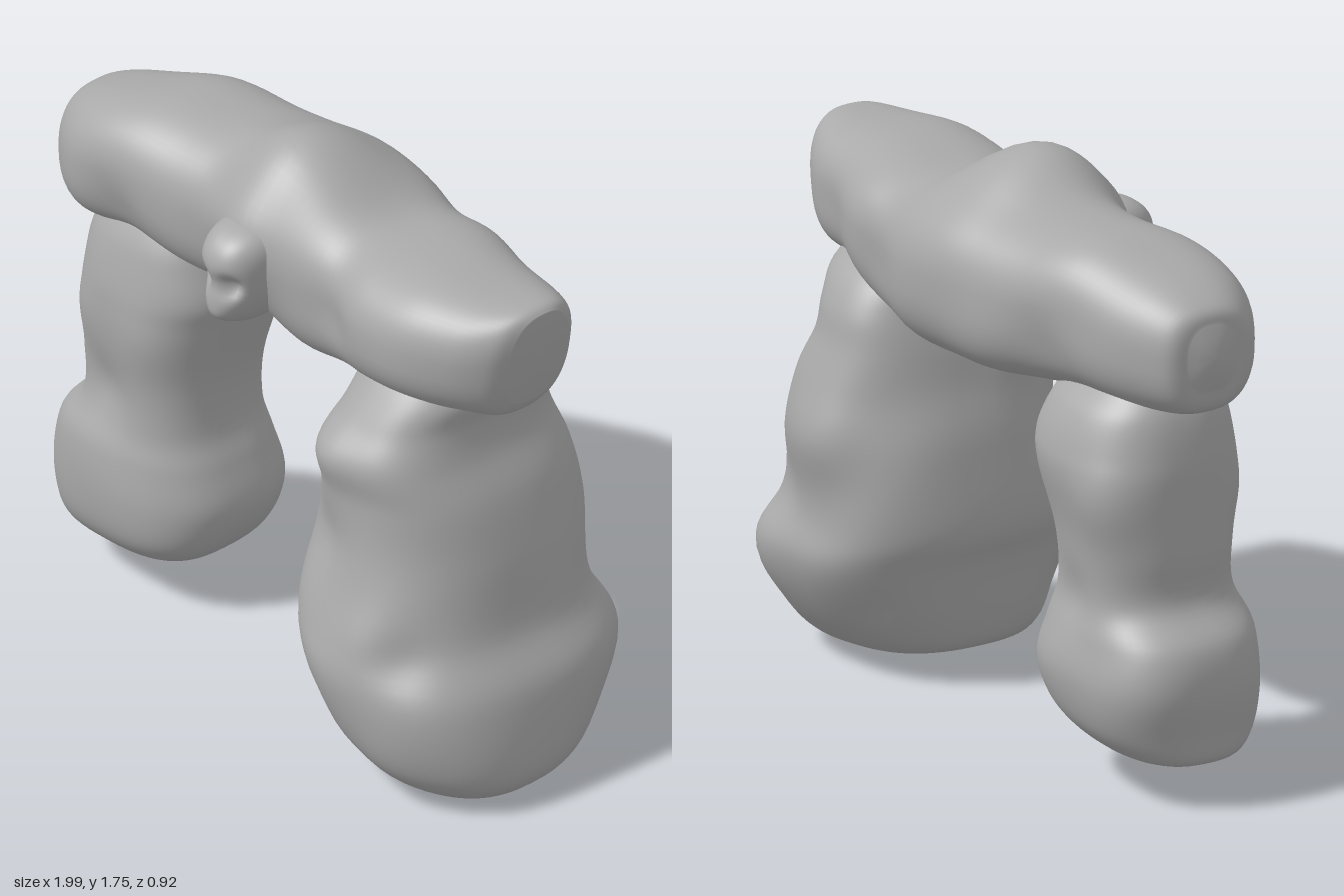
import * as THREE from 'three';

const stone = new THREE.MeshStandardMaterial({ color: 0xa9a9a9 });
stone.name = 'grey stone';

// Smooth blend through four neighbouring values
function spline(p0, p1, p2, p3, t) {
  const m1 = (p2 - p0) / 2, m2 = (p3 - p1) / 2, t2 = t * t, t3 = t2 * t;
  return (2 * t3 - 3 * t2 + 1) * p1 + (t3 - 2 * t2 + t) * m1 + (3 * t2 - 2 * t3) * p2 + (t3 - t2) * m2;
}

// Gentle weathering, as a fraction of the radius
function weathering(p) {
  return 0.012 * Math.sin(7 * p.x + 5 * p.y + 3 * p.z) + 0.012 * Math.sin(9 * p.y - 6 * p.z + 2)
    + 0.01 * Math.sin(13 * p.x - 8 * p.z + 11 * p.y + 1);
}

// Moves a point outwards (or inwards) near each lump: [x, y, z, radius, height]
function applyLumps(p, outward, lumps) {
  const start = p.clone();
  for (const [x, y, z, r, h] of lumps) {
    const d2 = (start.x - x) ** 2 + (start.y - y) ** 2 + (start.z - z) ** 2;
    p.addScaledVector(outward, h * Math.exp(-d2 / (r * r)));
  }
}

// Boulder lofted through sections [t, aMin, aMax, bMin, bMax].
// place(t, a, b) turns a section point into a position; bend(p) slants the result.
function boulder(name, sections, place, power, lumps, bend) {
  const sides = 64, steps = 6, rings = [];
  const at = (i) => sections[Math.min(Math.max(i, 0), sections.length - 1)];
  for (let i = 0; i < sections.length - 1; i++) {
    for (let s = 0; s < steps; s++) {
      rings.push(at(i).map((_, k) => spline(at(i - 1)[k], at(i)[k], at(i + 1)[k], at(i + 2)[k], s / steps)));
    }
  }
  rings.push(at(sections.length - 1));
  const scaled = ([t, a0, a1, b0, b1], f, rise) => {
    const a = (a0 + a1) / 2, b = (b0 + b1) / 2;
    return [t + rise, a + (a0 - a) * f, a + (a1 - a) * f, b + (b0 - b) * f, b + (b1 - b) * f];
  };
  // Slightly domed, closed ends
  const first = rings[0], last = rings[rings.length - 1];
  rings.unshift(scaled(first, 0.001, -0.02), scaled(first, 0.35, -0.017), scaled(first, 0.7, -0.01));
  rings.push(scaled(last, 0.7, 0.004), scaled(last, 0.35, 0.007), scaled(last, 0.001, 0.008));

  const positions = [], index = [];
  rings.forEach(([t, a0, a1, b0, b1], i) => {
    const centre = place(t, (a0 + a1) / 2, (b0 + b1) / 2);
    for (let j = 0; j < sides; j++) {
      const angle = (j / sides) * Math.PI * 2, c = Math.cos(angle), s = Math.sin(angle);
      const ca = Math.sign(c) * Math.abs(c) ** (2 / power), sb = Math.sign(s) * Math.abs(s) ** (2 / power);
      const p = place(t, (a0 + a1) / 2 + ca * (a1 - a0) / 2, (b0 + b1) / 2 + sb * (b1 - b0) / 2);
      const out = p.clone().sub(centre);
      p.addScaledVector(out, weathering(p));
      applyLumps(p, out.normalize(), lumps);
      bend(p);
      positions.push(p.x, p.y, p.z);
      if (i < rings.length - 1) {
        const k = (j + 1) % sides, A = i * sides + j, B = i * sides + k;
        index.push(A, B, B + sides, A, B + sides, A + sides);
      }
    }
  });
  const geometry = new THREE.BufferGeometry();
  geometry.setAttribute('position', new THREE.Float32BufferAttribute(positions, 3));
  geometry.setIndex(index);
  geometry.computeVertexNormals();
  const mesh = new THREE.Mesh(geometry, stone);
  mesh.name = name;
  return mesh;
}

const upright = (t, a, b) => new THREE.Vector3(b, t, a); // a is z, b is x
const lying = (t, a, b) => new THREE.Vector3(t, a, b);   // a is y, b is z

// Carved knob: broad brow, two sockets and a narrow muzzle
function carvedKnob() {
  const geometry = new THREE.SphereGeometry(1, 64, 48);
  const position = geometry.attributes.position, p = new THREE.Vector3(), front = new THREE.Vector3(0, 0, 1);
  const dents = [[-0.115, 1.425, 0.35, 0.035, -0.05], [-0.02, 1.425, 0.35, 0.035, -0.05],
    [-0.065, 1.31, 0.33, 0.06, 0.03]];
  const boxy = (v) => Math.sign(v) * Math.abs(v) ** 0.8;
  for (let i = 0; i < position.count; i++) {
    p.fromBufferAttribute(position, i);
    p.set(-0.065 + boxy(p.x) * (0.105 + 0.035 * p.y), 1.425 + boxy(p.y) * 0.165, 0.19 + boxy(p.z) * (0.18 + 0.02 * p.y));
    if (p.z > 0.2) applyLumps(p, front, dents);
    position.setXYZ(i, p.x, p.y, p.z);
  }
  geometry.computeVertexNormals();
  const mesh = new THREE.Mesh(geometry, stone);
  mesh.name = 'carvedKnob';
  return mesh;
}

export function createModel() {
  const group = new THREE.Group();
  group.name = 'stoneArch';

  // Broad pillar with a sloping foot
  group.add(boulder('leftPillar', [
    [0.07, -0.13, 0.24, 0.38, 0.82],
    [0.1, -0.23, 0.32, 0.3, 0.92],
    [0.2, -0.33, 0.4, 0.26, 0.99],
    [0.4, -0.43, 0.46, 0.22, 0.97],
    [0.55, -0.42, 0.43, 0.18, 0.88],
    [0.78, -0.42, 0.36, 0.2, 0.84],
    [0.95, -0.39, 0.35, 0.24, 0.8],
    [1.08, -0.35, 0.37, 0.26, 0.74],
    [1.18, -0.33, 0.31, 0.29, 0.72],
    [1.27, -0.28, 0.24, 0.31, 0.73],
    [1.36, -0.18, 0.16, 0.36, 0.68],
  ], upright, 2.5, [
    [0.33, 0.25, 0.38, 0.1, -0.03], [0.62, 0.55, 0.42, 0.1, 0.02], [0.75, 0.5, 0.36, 0.09, -0.025],
    [0.38, 0.78, 0.36, 0.1, -0.025], [0.72, 0.22, 0.36, 0.13, 0.02], [0.42, 1.06, 0.36, 0.1, 0.015],
    [0.45, 0.8, -0.42, 0.13, 0.035], [0.68, 0.6, -0.4, 0.12, -0.03],
    [0.75, 0.35, -0.33, 0.12, 0.03], [0.26, 1.02, 0.15, 0.07, 0.02],
  ], (p) => { p.y -= 0.17 * (p.x - 0.6) * Math.max(0, 1 - p.y / 0.5); }));

  // Slimmer pillar with a swollen foot
  group.add(boulder('rightPillar', [
    [0.165, -0.1, 0.12, -0.9, -0.52],
    [0.19, -0.18, 0.2, -0.96, -0.43],
    [0.27, -0.25, 0.26, -0.98, -0.35],
    [0.4, -0.28, 0.28, -1.0, -0.32],
    [0.53, -0.26, 0.27, -0.97, -0.36],
    [0.64, -0.24, 0.24, -0.88, -0.4],
    [0.8, -0.25, 0.23, -0.89, -0.4],
    [1.0, -0.28, 0.24, -0.89, -0.36],
    [1.1, -0.27, 0.24, -0.88, -0.34],
    [1.2, -0.23, 0.22, -0.86, -0.37],
    [1.27, -0.17, 0.19, -0.83, -0.4],
    [1.36, -0.1, 0.13, -0.78, -0.45],
  ], upright, 2.6, [
    [-0.7, 0.72, 0.24, 0.1, -0.03], [-0.5, 0.95, 0.24, 0.12, 0.015], [-0.8, 0.95, 0.22, 0.1, 0.015],
    [-0.6, 0.62, -0.25, 0.1, -0.025], [-0.78, 0.95, -0.27, 0.12, 0.025],
  ], (p) => { p.y -= 0.06 * (-0.7 - p.x) * Math.max(0, 1 - p.y / 0.4); }));

  // Long lintel with a central hump and a brow above the knob
  group.add(boulder('lintel', [
    [-0.965, 1.32, 1.52, -0.06, 0.1],
    [-0.94, 1.25, 1.57, -0.13, 0.17],
    [-0.8, 1.22, 1.63, -0.2, 0.25],
    [-0.6, 1.23, 1.69, -0.27, 0.25],
    [-0.4, 1.2, 1.68, -0.32, 0.23],
    [-0.24, 1.18, 1.67, -0.36, 0.2],
    [-0.08, 1.17, 1.67, -0.38, 0.2],
    [0.1, 1.15, 1.66, -0.37, 0.22],
    [0.26, 1.17, 1.63, -0.34, 0.22],
    [0.42, 1.2, 1.64, -0.33, 0.26],
    [0.6, 1.23, 1.64, -0.28, 0.26],
    [0.76, 1.24, 1.63, -0.25, 0.2],
    [0.86, 1.25, 1.63, -0.2, 0.13],
    [0.895, 1.3, 1.61, -0.15, 0.07],
  ], lying, 2.5, [
    [-0.12, 1.68, 0, 0.17, 0.08], [0.02, 1.67, 0, 0.17, 0.07], [-0.07, 1.52, 0.21, 0.14, 0.07],
    [-0.62, 1.36, 0.25, 0.1, -0.02], [0.27, 1.4, 0.24, 0.1, -0.02], [0.3, 1.36, -0.32, 0.12, -0.02],
    [-0.5, 1.35, -0.3, 0.12, -0.025], [0.65, 1.4, -0.27, 0.12, -0.02],
  ], (p) => { p.x += 0.17 * (p.y - 1.53) * THREE.MathUtils.smoothstep(p.x, 0.65, 0.88); }));

  group.add(carvedKnob());
  return group;
}
